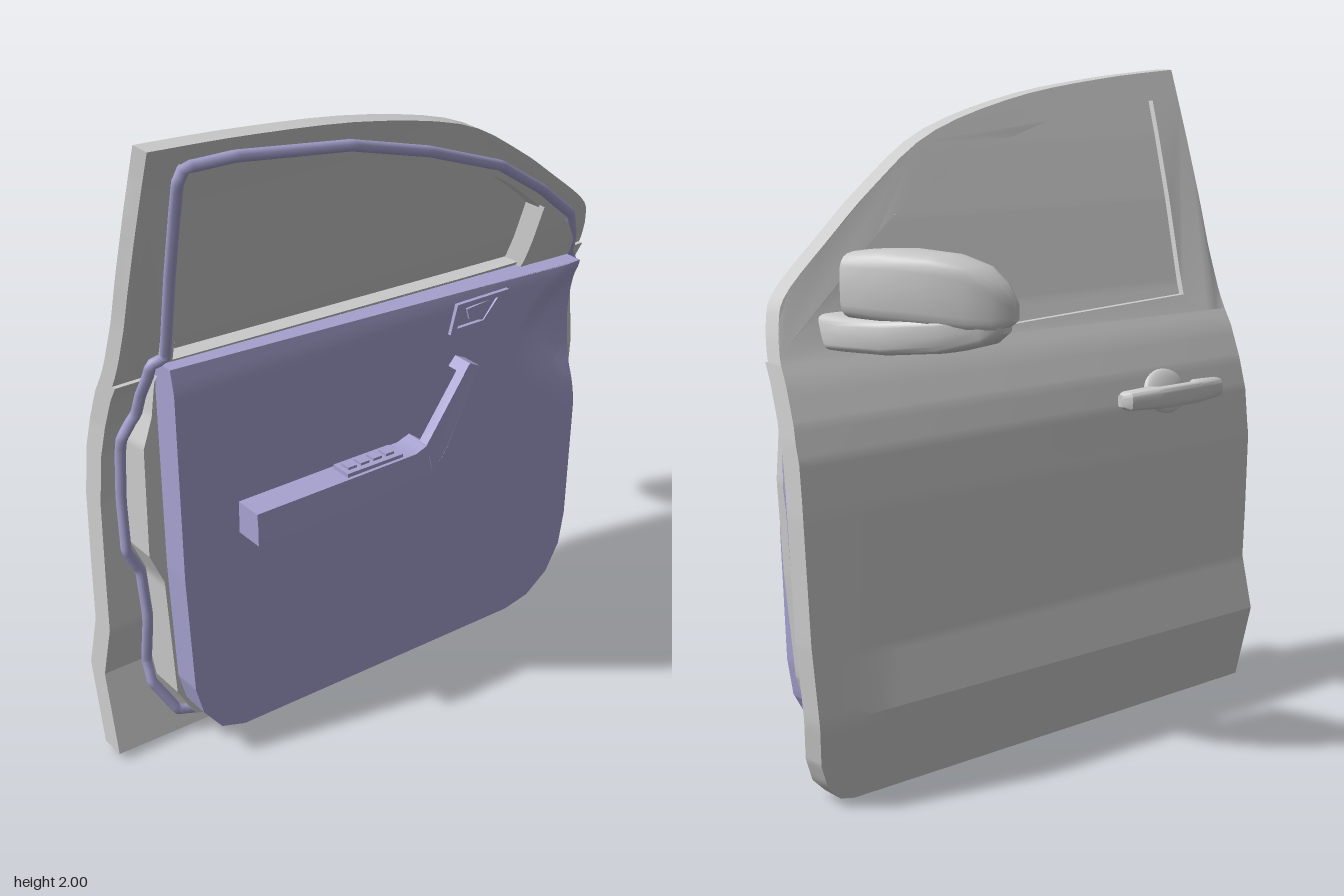
import * as THREE from 'three';
import { toCreasedNormals } from 'three/addons/utils/BufferGeometryUtils.js';

const grey = new THREE.MeshStandardMaterial({ color: 0xcccccc });
const trim = new THREE.MeshStandardMaterial({ color: 0xa6a2d0 });
const clamp = THREE.MathUtils.clamp;

// Height / depth profile of the outer skin
const PROFILE = [[0, -0.035], [0.27, -0.11], [0.44, -0.07], [0.6, -0.08], [0.85, -0.092], [1, -0.075], [1.1, -0.045],
  [1.2, 0], [1.27, 0.043], [1.34, 0.075], [1.6, 0.17], [1.8, 0.25], [2, 0.335]];
function outer(x, y) {
  let k = 1;
  while (k < PROFILE.length - 1 && PROFILE[k][0] < y) k++;
  const [y0, z0] = PROFILE[k - 1], [y1, z1] = PROFILE[k];
  let z = z0 + (z1 - z0) * clamp((y - y0) / (y1 - y0), 0, 1);
  // the pressed groove fades out towards the hinge edge
  if (y > 0.27 && y < 0.85) {
    const full = -0.11 + 0.018 * (y - 0.27) / 0.58;
    z += (full - z) * THREE.MathUtils.smoothstep(x, 0.6, 0.78);
  }
  return z - 0.01 * x * clamp((1.2 - y) / 0.3, 0, 1);
}
const skin = d => (x, y) => outer(x, y) + d;

// Split long edges so that warped outlines follow the profile
function dense(pts, step = 0.04) {
  return pts.flatMap((p, i) => {
    const q = pts[(i + 1) % pts.length];
    const n = Math.max(1, Math.ceil(Math.hypot(q[0] - p[0], q[1] - p[1]) / step));
    return Array.from({ length: n }, (_, k) => [p[0] + (q[0] - p[0]) * k / n, p[1] + (q[1] - p[1]) * k / n]);
  });
}
const v2 = pts => pts.map(p => new THREE.Vector2(p[0], p[1]));
const spline = (pts, n = 30) => new THREE.SplineCurve(v2(pts)).getPoints(n).map(p => [p.x, p.y]);

// Closed surface from a vertex list and quads, turned outwards
function solid(pos, quads, crease = 0.4) {
  const P = i => new THREE.Vector3(...pos[i]);
  let vol = 0;
  const tris = quads.flatMap(([a, b, c, d]) => [[a, b, c], [a, c, d]]);
  tris.forEach(([a, b, c]) => { vol += P(a).dot(P(b).cross(P(c))); });
  const g = new THREE.BufferGeometry();
  g.setAttribute('position', new THREE.Float32BufferAttribute(pos.flat(), 3));
  g.setIndex(tris.flatMap(([a, b, c]) => vol < 0 ? [a, c, b] : [a, b, c]));
  return toCreasedNormals(g, crease);
}

// Slab inside an outline, between two depth rules
function slab(poly, zBack, zFront, nx = 24, step = 0.03) {
  const py = poly.map(p => p[1]), lo = Math.min(...py), hi = Math.max(...py);
  const ys = [...py];
  for (let y = lo; y < hi; y += step) ys.push(y);
  PROFILE.forEach(p => { if (p[0] > lo && p[0] < hi) ys.push(p[0]); });
  const rows = ys.sort((a, b) => a - b).filter((y, i) => !i || y - ys[i - 1] > 1e-5);
  const m = rows.length - 1, pos = [], quads = [];
  rows.forEach(y => {
    let l = Infinity, r = -Infinity;
    poly.forEach((p, i) => {
      const q = poly[(i + 1) % poly.length];
      if (y < Math.min(p[1], q[1]) - 1e-6 || y > Math.max(p[1], q[1]) + 1e-6) return;
      const dy = q[1] - p[1];
      const xs = Math.abs(dy) < 1e-6 ? [p[0], q[0]] : [p[0] + (q[0] - p[0]) * (y - p[1]) / dy];
      l = Math.min(l, ...xs); r = Math.max(r, ...xs);
    });
    for (let i = 0; i <= nx; i++) {
      const x = l + (r - l) * i / nx;
      pos.push([x, y, zFront(x, y)], [x, y, zBack(x, y)]);
    }
  });
  const F = (i, j) => 2 * (j * (nx + 1) + i), B = (i, j) => F(i, j) + 1;
  for (let j = 0; j < m; j++) {
    for (let i = 0; i < nx; i++) {
      quads.push([F(i, j), F(i + 1, j), F(i + 1, j + 1), F(i, j + 1)], [B(i, j), B(i, j + 1), B(i + 1, j + 1), B(i + 1, j)]);
    }
    quads.push([B(0, j), F(0, j), F(0, j + 1), B(0, j + 1)], [F(nx, j), B(nx, j), B(nx, j + 1), F(nx, j + 1)]);
  }
  for (let i = 0; i < nx; i++) {
    quads.push([B(i, 0), B(i + 1, 0), F(i + 1, 0), F(i, 0)], [F(i, m), F(i + 1, m), B(i + 1, m), B(i, m)]);
  }
  return solid(pos, quads);
}

// Outline with a hole, warped between two depth rules
function ring(outline, hole, zBack, zFront) {
  const s = new THREE.Shape(v2(dense(outline)));
  if (hole) s.holes.push(new THREE.Path(v2(dense(hole))));
  const g = new THREE.ExtrudeGeometry(s, { depth: 1, bevelEnabled: false }), p = g.attributes.position;
  for (let i = 0; i < p.count; i++) {
    const x = p.getX(i), y = p.getY(i);
    p.setZ(i, p.getZ(i) > 0.5 ? zFront(x, y) : zBack(x, y));
  }
  return toCreasedNormals(g, 0.4);
}

// Loft of rounded sections [t, a0, a1, b0, b1]; place(t, a, b) gives the point
function loft(sections, place, power = 0.5, n = 24) {
  const pos = [], quads = [], m = sections.length;
  const bend = c => Math.sign(c) * Math.abs(c) ** power;
  sections.forEach(([t, a0, a1, b0, b1]) => {
    for (let i = 0; i < n; i++) {
      const w = i / n * Math.PI * 2;
      pos.push(place(t, (a0 + a1) / 2 + (a1 - a0) / 2 * bend(Math.cos(w)), (b0 + b1) / 2 + (b1 - b0) / 2 * bend(Math.sin(w))));
    }
  });
  [0, m - 1].forEach(j => {
    const [t, a0, a1, b0, b1] = sections[j];
    pos.push(place(t, (a0 + a1) / 2, (b0 + b1) / 2));
  });
  for (let i = 0; i < n; i++) {
    const k = (i + 1) % n, e = (m - 1) * n;
    for (let j = 0; j < m - 1; j++) quads.push([j * n + i, j * n + k, (j + 1) * n + k, (j + 1) * n + i]);
    quads.push([m * n, k, i, i], [m * n + 1, e + i, e + k, e + k]);
  }
  return solid(pos, quads, 0.7);
}

export function createModel() {
  const door = new THREE.Group();
  door.name = 'carDoor';
  const add = (name, geo, mat = grey) => {
    const mesh = new THREE.Mesh(geo, mat);
    mesh.name = name;
    door.add(mesh);
    return mesh;
  };

  // Outer skin below the window line
  add('lowerSkin', slab([[-0.86, 0.025], [0.68, 0], [0.73, 0.012], [0.78, 0.06], [0.815, 0.14], [0.84, 0.27], [0.857, 0.5], [0.866, 0.85],
    [0.86, 1.05], [0.84, 1.25], [-0.837, 1.25], [-0.835, 1.1], [-0.84, 0.9]], skin(0), skin(0.08), 40));

  // Window frame, glass and inner frame lip
  const arc = spline([[0.84, 1.25], [0.815, 1.35], [0.77, 1.43], [0.6, 1.56], [0.415, 1.69], [0.16, 1.835], [-0.2, 1.93], [-0.57, 1.978], [-0.875, 2]]);
  const glass = [[-0.68, 1.305], [0.557, 1.262], [0.557, 1.465], ...spline([[0.53, 1.49], [0.33, 1.63], [0.03, 1.755], [-0.28, 1.85], [-0.55, 1.89], [-0.755, 1.905]], 20)];
  add('windowFrame', ring([...arc, [-0.84, 1.45], [-0.837, 1.25]], glass, skin(0), skin(0.065)));
  add('windowGlass', slab(glass, skin(0.02), skin(0.032)));
  const sealTop = [[0.75, 1.31], [0.7, 1.41], [0.54, 1.535], [0.33, 1.67], [0.03, 1.79], [-0.26, 1.88], [-0.63, 1.938], [-0.775, 1.94]];
  add('innerFrame', ring([[0.76, 1.255], ...sealTop, [-0.71, 1.32], [-0.71, 1.265]], glass, skin(0.06), skin(0.09)));
  add('mirrorCornerPanel', ring([[0.555, 1.24], [0.755, 1.24], [0.74, 1.31], [0.69, 1.38], [0.555, 1.475]], null, skin(0.06), skin(0.112)));

  // Inner pressed pan
  const panFront = (x, y) => Math.max(0.11, outer(x, y) + 0.09);
  add('innerPan', slab([[-0.5, 0.065], [0.48, 0.065], [0.63, 0.095], [0.72, 0.19], [0.77, 0.34], [0.8, 0.65], [0.815, 0.92], [0.795, 1.17], [0.755, 1.26],
    [-0.71, 1.29], [-0.73, 1.13], [-0.76, 1.04], [-0.76, 0.7], [-0.715, 0.6], [-0.69, 0.21], [-0.63, 0.11]], skin(0.06), panFront));

  // Rubber seal running round the whole inner face
  const seal = dense([...sealTop, [-0.785, 1.9], [-0.71, 1.325], [-0.75, 1.31], [-0.75, 1.13], [-0.785, 1.05], [-0.78, 0.68], [-0.74, 0.6], [-0.715, 0.2],
    [-0.65, 0.09], [-0.52, 0.05], [0.48, 0.042], [0.65, 0.07], [0.75, 0.17], [0.8, 0.33], [0.835, 0.65], [0.845, 0.92], [0.82, 1.19], [0.77, 1.25]]);
  const sealPath = new THREE.CatmullRomCurve3(seal.map(([x, y]) => new THREE.Vector3(x, y, outer(x, y) + 0.092)), true, 'catmullrom', 0.3);
  add('doorSeal', new THREE.TubeGeometry(sealPath, 320, 0.016, 8, true), trim);

  // Trim card with a scoop at the upper front corner
  const cardFront = (x, y) => {
    const u = clamp((y - 0.72) / 0.56, 0, 1), s = Math.sin(Math.PI * u ** 1.3);
    const edge = 0.755 - 0.25 * s;
    return 0.205 - 0.05 * s * clamp((x - edge) / 0.14, 0, 1) - 0.2 * Math.max(0, y - 1.23);
  };
  add('trimCard', slab([[-0.52, 0.08], [0.5, 0.08], [0.59, 0.1], [0.67, 0.16], [0.72, 0.25], [0.738, 0.36], [0.75, 0.75], [0.75, 1.245],
    [-0.715, 1.3], [-0.705, 0.65], [-0.685, 0.27], [-0.66, 0.18], [-0.6, 0.105]], () => 0.1, cardFront, 60, 0.02), trim);

  // Armrest, diagonal pull bar and its upper foot
  const gripFront = (x, y) => 0.3 - 0.1 * Math.max(0, y - 0.8);
  add('armrest', ring([[-0.52, 0.74], [0.04, 0.74], [0.1, 0.765], [0.14, 0.82], [0.085, 0.86], [0.04, 0.845], [-0.52, 0.84]], null, () => 0.2, gripFront), trim);
  add('pullBar', ring([[0.1, 0.765], [0.16, 0.835], [0.292, 1.05], [0.255, 1.068], [0.08, 0.86]], null, (x, y) => gripFront(x, y) - 0.035, gripFront), trim);
  add('pullBarFoot', ring([[0.27, 1.02], [0.292, 1.05], [0.255, 1.068], [0.23, 1.04]], null, () => 0.2, gripFront), trim);
  const box = (name, w, h, d, x, y, z) => add(name, new THREE.BoxGeometry(w, h, d), trim).position.set(x, y, z);
  box('switchPlate', 0.2, 0.02, 0.07, -0.1, 0.845, 0.25);
  for (let i = 0; i < 4; i++) box('windowSwitch', 0.03, 0.012, 0.035, -0.17 + i * 0.045, 0.857, 0.25);

  // Interior release lever in its bezel
  add('releaseBezel', ring([[0.225, 1.145], [0.4, 1.145], [0.447, 1.235], [0.25, 1.235]], [[0.25, 1.16], [0.35, 1.16], [0.405, 1.22], [0.265, 1.22]],
    () => 0.19, () => 0.217), trim);
  add('releaseLever', ring([[0.3, 1.175], [0.35, 1.16], [0.4, 1.22], [0.29, 1.21]], null, () => 0.19, () => 0.213), trim);

  // Exterior mirror: arm, housing, glass
  const alongZ = (t, a, b) => [a, b, t];
  add('mirrorArm', loft([[0.08, 0.57, 0.69, 1.27, 1.37], [-0.02, 0.56, 0.69, 1.275, 1.37], [-0.15, 0.47, 0.65, 1.277, 1.375],
    [-0.28, 0.42, 0.56, 1.29, 1.385], [-0.36, 0.395, 0.475, 1.315, 1.395], [-0.39, 0.385, 0.43, 1.345, 1.395]], alongZ, 0.4));
  add('mirrorHousing', loft([[-0.025, 0.48, 0.685, 1.365, 1.55], [-0.13, 0.45, 0.655, 1.36, 1.557], [-0.26, 0.415, 0.58, 1.355, 1.55],
    [-0.34, 0.392, 0.51, 1.35, 1.525], [-0.385, 0.378, 0.455, 1.355, 1.48], [-0.405, 0.372, 0.4, 1.375, 1.43]], alongZ, 0.45));
  add('mirrorGlass', loft([[-0.05, 0.468, 0.49, 1.39, 1.53], [-0.25, 0.413, 0.435, 1.38, 1.53], [-0.34, 0.388, 0.41, 1.38, 1.5]], alongZ, 0.3));

  // Exterior handle: arched bar, end feet and finger cup
  const alongX = (t, a, b) => [t, b, a];
  add('outerHandle', loft([[-0.69, -0.105, -0.075, 1.012, 1.05], [-0.675, -0.128, -0.07, 1.002, 1.06], [-0.58, -0.145, -0.075, 0.998, 1.065],
    [-0.56, -0.148, -0.108, 0.998, 1.065], [-0.41, -0.148, -0.108, 0.998, 1.065], [-0.39, -0.145, -0.075, 0.998, 1.065],
    [-0.295, -0.128, -0.07, 1.002, 1.06], [-0.28, -0.105, -0.075, 1.012, 1.05]], alongX, 0.6));
  const cup = add('handleCup', new THREE.SphereGeometry(1, 24, 16));
  cup.scale.set(0.085, 0.07, 0.025);
  cup.position.set(-0.485, 1.035, -0.065);
  cup.rotation.x = 0.35;
  return door;
}
